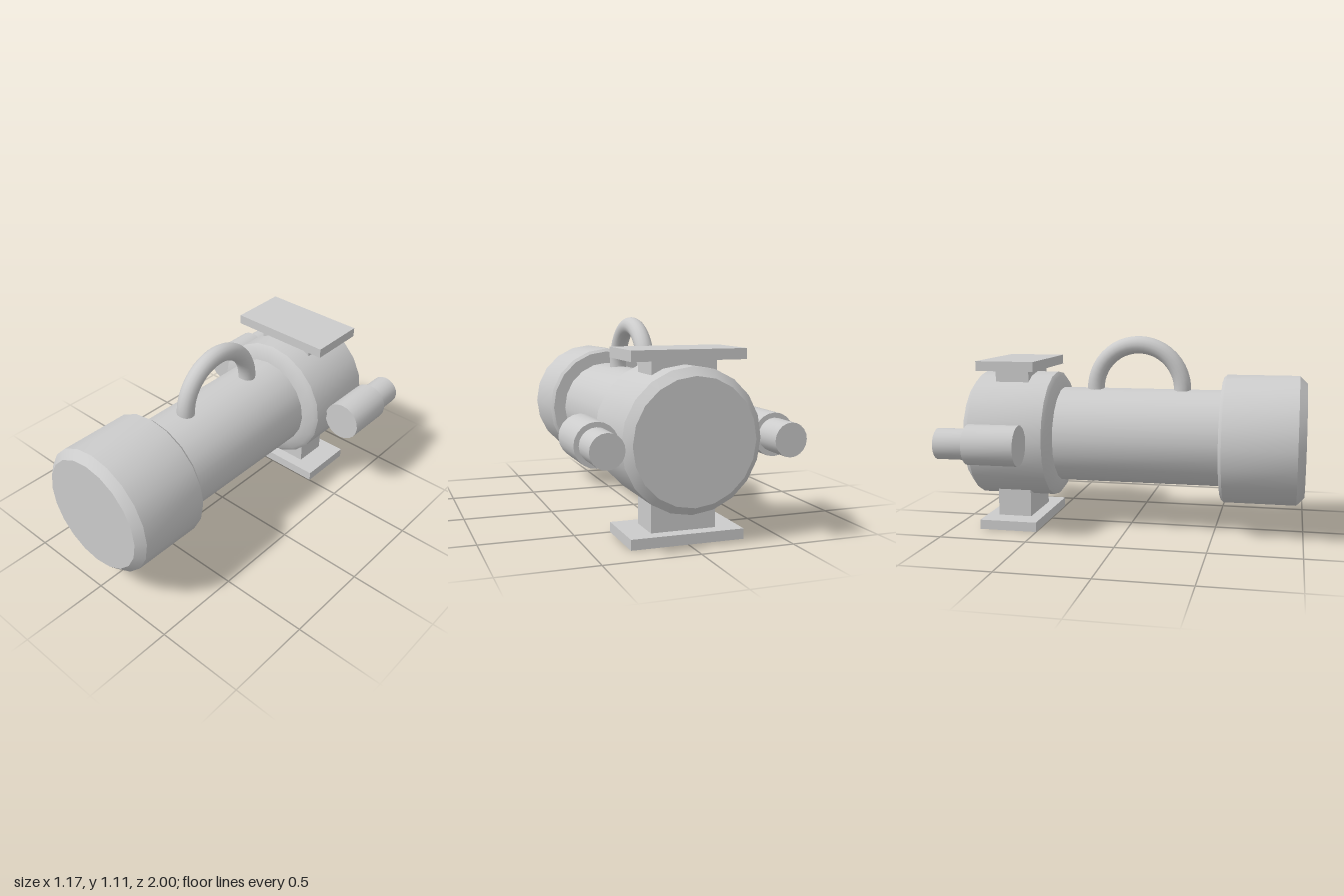
import * as THREE from 'three';
import { toCreasedNormals } from 'three/addons/utils/BufferGeometryUtils.js';

const AXIS_Y = 0.53;
const SIDES = 20;

export function createModel() {
  const model = new THREE.Group();
  const material = new THREE.MeshStandardMaterial({ color: 0xcccccc });

  const add = (name, geometry, x, y, z) => {
    const mesh = new THREE.Mesh(geometry, material);
    mesh.name = name;
    mesh.position.set(x, y, z);
    model.add(mesh);
    return mesh;
  };

  // Turned part along z: profile of [radius, z], running from back to front
  const turned = (name, profile, x = 0) => {
    const points = profile.map(([r, z]) => new THREE.Vector2(r, z));
    const geometry = new THREE.LatheGeometry(points, SIDES).rotateX(Math.PI / 2);
    return add(name, toCreasedNormals(geometry, 0.45), x, AXIS_Y, 0);
  };

  // Main barrel with a chamfered cap at each end
  turned('barrel', [[0, -0.5], [0.277, -0.5], [0.277, 0.6], [0, 0.6]]);
  turned('frontCap', [[0, 0.535], [0.35, 0.535], [0.367, 0.553], [0.367, 0.957], [0.323, 1], [0, 1]]);
  turned('rearHead', [[0, -0.92], [0.323, -0.92], [0.367, -0.88], [0.367, -0.445],
    [0.345, -0.427], [0.277, -0.406], [0, -0.406]]);

  // Carrying handle: half ring, ends sunk slightly into the barrel
  const sink = 0.06;
  const ring = new THREE.TorusGeometry(0.255, 0.05, 16, 24, Math.PI + 2 * sink);
  ring.rotateZ(-sink).rotateY(Math.PI / 2);
  add('handle', ring, 0, 0.805, 0.042);

  // Mounting post through the rear head, with a plate above and below
  add('mountPost', new THREE.BoxGeometry(0.35, 0.9, 0.197), 0, 0.488, -0.67);
  for (const [name, y] of [['bottomPlate', 0.0275], ['topPlate', 0.9475]]) {
    add(name, new THREE.BoxGeometry(0.608, 0.055, 0.337), 0, y, -0.67);
  }

  // Side connectors, stepping down to a thinner plug at the back
  for (const [side, sign] of [['left', 1], ['right', -1]]) {
    turned(side + 'Connector', [[0, -0.826], [0.113, -0.826], [0.113, -0.535], [0, -0.535]], sign * 0.472);
    turned(side + 'Plug', [[0, -1], [0.087, -1], [0.087, -0.8], [0, -0.8]], sign * 0.472);
  }

  return model;
}
